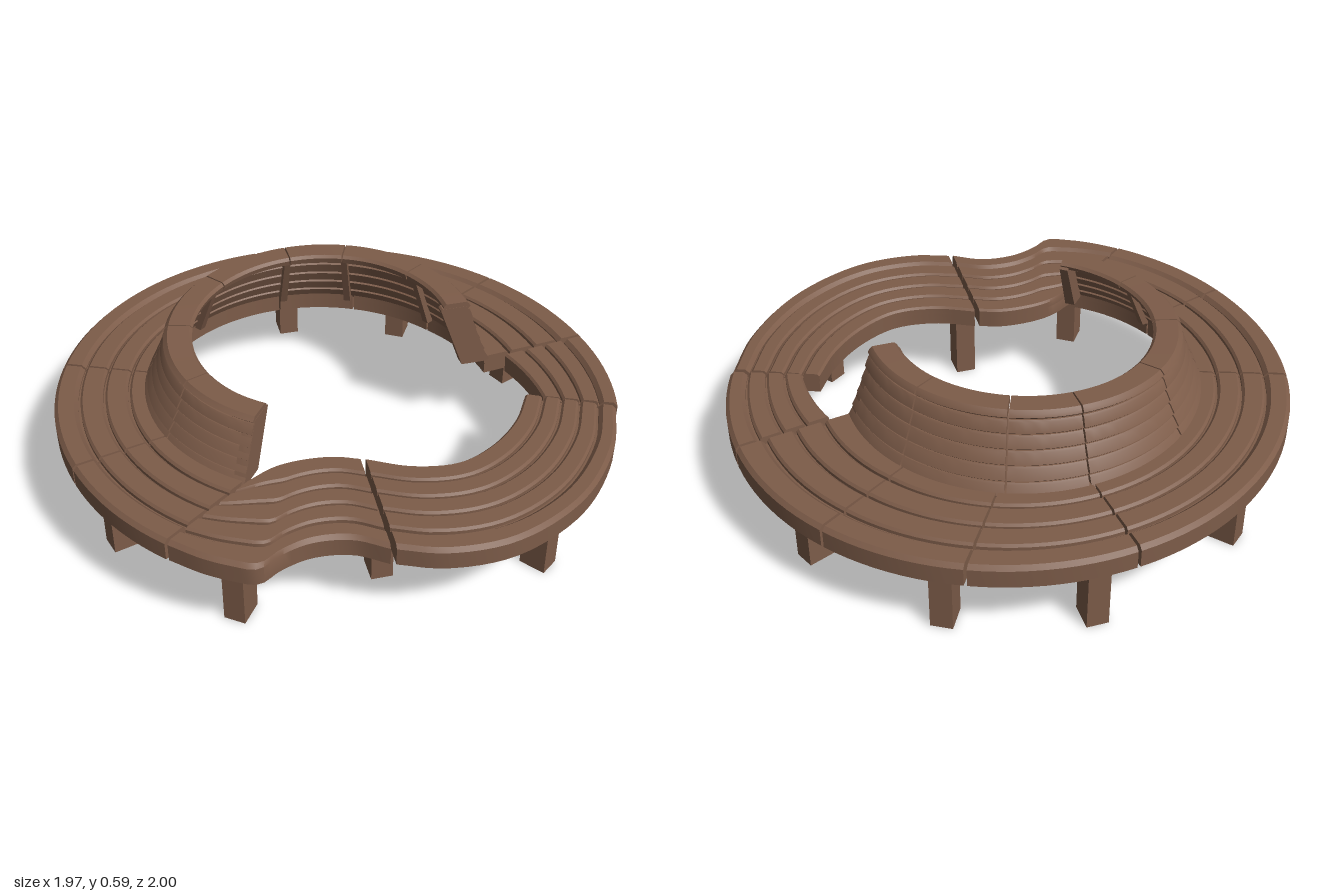
import * as THREE from 'three';
import { toCreasedNormals } from 'three/addons/utils/BufferGeometryUtils.js';

const wood = new THREE.MeshStandardMaterial({ color: 0x7d5c49 });
wood.name = 'brown wood';

const lerp = THREE.MathUtils.lerp;
const rad = THREE.MathUtils.degToRad;
const seatTop = (x) => 0.347 - 0.028 * x;      // the seat slopes slightly sideways
const backTop = (x) => 0.578 + 0.022 * x;

// Sweeps a closed convex section (function of v in 0..1) and caps both ends
function loft(name, section, steps) {
  const pos = [], index = [];
  let n = 0;
  for (let i = 0; i <= steps; i++) {
    const ring = section(i / steps);
    n = ring.length;
    ring.forEach((p) => pos.push(p[0], p[1], p[2]));
  }
  for (let i = 0; i < steps; i++) {
    for (let j = 0; j < n; j++) {
      const k = (j + 1) % n, a = i * n, b = a + n;
      index.push(a + j, a + k, b + k, a + j, b + k, b + j);
    }
  }
  const e = steps * n;
  for (let j = 1; j < n - 1; j++) index.push(0, j + 1, j, e, e + j, e + j + 1);
  const g = new THREE.BufferGeometry();
  g.setAttribute('position', new THREE.Float32BufferAttribute(pos, 3));
  g.setIndex(index);
  const mesh = new THREE.Mesh(toCreasedNormals(g, rad(35)), wood);
  mesh.name = name;
  return mesh;
}

// Point on the backrest ring, whose centre is set slightly back
const ringPoint = (deg, r) => [-0.01 + r * Math.cos(rad(deg)), -0.06 + r * Math.sin(rad(deg))];

// One plank between fractions u0 (outer) and u1 (inner), with chamfered top edges
function plank(name, edges, u0, u1, depthTop, depthBottom, chamfer, steps) {
  return loft(name, (v) => {
    const [o, i] = edges(v);
    const c = chamfer / Math.hypot(o[0] - i[0], o[1] - i[1]);
    const at = (u, d) => {
      const x = lerp(o[0], i[0], u), z = lerp(o[1], i[1], u);
      return [x, seatTop(x) - d, z];
    };
    return [
      at(u1, depthBottom), at(u0, depthBottom),
      at(u0, depthTop + chamfer), at(u0 + c, depthTop),
      at(u1 - c, depthTop), at(u1, depthTop + chamfer),
    ];
  }, steps);
}

// A seat section: a base board, a deep rim plank and thinner planks behind it
function seatSection(name, edges, count, steps) {
  const group = new THREE.Group();
  group.name = name;
  group.add(plank('seatBase', edges, 0.03, 0.995, 0.02, 0.075, 0.002, steps));
  for (let k = 0; k < count; k++) {
    const gap = 0.012;
    group.add(plank('seatPlank', edges, k ? k / count + gap : 0, (k + 1) / count - (k < count - 1 ? gap : 0),
      0, k ? 0.03 : 0.078, k ? 0.008 : 0.014, steps));
  }
  return group;
}

const splineEdges = (outer, inner) => {
  const [a, b] = [outer, inner].map((pts) =>
    new THREE.CatmullRomCurve3(pts.map(([x, z]) => new THREE.Vector3(x, 0, z)), false, 'centripetal'));
  return (v) => [a, b].map((c) => { const p = c.getPointAt(v); return [p.x, p.z]; });
};

// Outer face radius of the backrest at height fraction f
const backRadius = (f) => 0.545 + 0.095 * Math.pow(1 - f, 1.3);

// Curved backrest bar between two angles and two height fractions
function backBar(name, a0, a1, f0, f1, depth, inset = 0, chamfer = 0.006) {
  return loft(name, (v) => {
    const deg = lerp(a0, a1, v);
    const [mx] = ringPoint(deg, 0.58);
    const at = (f, off, dy = 0) => {
      const [x, z] = ringPoint(deg, backRadius(f) - inset - off);
      return [x, lerp(seatTop(mx) - 0.02, backTop(mx), f) + dy, z];
    };
    const c = chamfer;
    return [
      at(f0, depth), at(f0, c), at(f0, 0, c), at(f1, 0, -c),
      at(f1, c), at(f1, depth - c), at(f1, depth, -c),
    ];
  }, Math.max(1, Math.ceil((a1 - a0) / 3)));
}

export function createModel() {
  const model = new THREE.Group();
  model.name = 'roundBench';

  // Ring seat sections: [inner angle, outer angle, inner radius] at each joint
  const joints = [
    [165, 174.5, 0.6], [199, 203, 0.6], [235, 238, 0.6], [306, 303, 0.6],
    [334, 334, 0.6], [365, 362, 0.6], [398, 392, 0.62], [419, 418, 0.79],
  ];
  for (let s = 0; s < joints.length - 1; s++) {
    const p = joints[s], q = joints[s + 1];
    const innerStart = s === 6 ? 0.7 : p[2];
    const edges = (v) => {
      const ao = rad(lerp(p[1] + 0.3, q[1] - 0.3, v));
      return [
        [0.987 * Math.cos(ao), 0.998 * Math.sin(ao)],
        ringPoint(lerp(p[0] + 0.3, q[0] - 0.3, v), lerp(innerStart, q[2], v)),
      ];
    };
    model.add(seatSection('ringSeat', edges, 4, Math.ceil((q[1] - p[1]) / 3)));
  }

  // Front and left sections curve in an S out of the ring
  model.add(seatSection('frontSeat', splineEdges(
    [[0.51, 0.847], [0.3, 0.948], [0, 0.997], [-0.3, 0.93], [-0.48, 0.79], [-0.56, 0.66]],
    [[0.37, 0.56], [0.22, 0.61], [0.05, 0.62], [-0.1, 0.58], [-0.21, 0.47], [-0.275, 0.33]]), 5, 28));
  model.add(seatSection('curvedSeat', splineEdges(
    [[-0.57, 0.645], [-0.61, 0.53], [-0.7, 0.44], [-0.8, 0.4], [-0.89, 0.385], [-0.93, 0.31], [-0.96, 0.22], [-0.98, 0.1]],
    [[-0.285, 0.315], [-0.33, 0.24], [-0.42, 0.16], [-0.5, 0.12], [-0.6, 0.105]]), 5, 28));

  // Backrest: five slats and a wide cap in each section
  const backrest = new THREE.Group();
  backrest.name = 'backrest';
  const backJoints = [165, 198, 234, 270, 307, 332, 366, 398];
  for (let s = 0; s < backJoints.length - 1; s++) {
    const a = backJoints[s] + 0.3, b = backJoints[s + 1] - 0.3;
    for (let k = 0; k < 5; k++) {
      backrest.add(backBar('backSlat', a, b, k * 0.178 + 0.006, (k + 1) * 0.178 - 0.006, 0.035));
    }
    backrest.add(backBar('backCap', a, b, 0.89, 1, 0.096, 0, 0.01));
    if (s) backrest.add(backBar('backRib', a - 1.6, a + 1, 0, 0.9, 0.04, 0.025));
  }
  // Deep end frames
  for (const a of [165.2, 393.8]) backrest.add(backBar('endFrame', a, a + 4, 0, 0.93, 0.1, 0.008));
  model.add(backrest);

  // Legs, each turned to face the centre
  const legs = [
    [0.83, -0.315], [0.565, -0.7], [-0.015, -0.885], [-0.53, -0.7], [-0.8, -0.315],
    [-0.8, 0.22], [-0.37, 0.46], [-0.015, 0.87], [0.565, 0.655], [0.83, 0.22],
  ];
  for (const [x, z] of legs) {
    const h = seatTop(x) - 0.06;
    const g = new THREE.BoxGeometry(0.075, h, 0.095);
    const leg = new THREE.Mesh(g, wood);
    leg.name = 'leg';
    leg.position.set(x, h / 2, z);
    leg.rotation.y = Math.atan2(x, z);
    model.add(leg);
  }
  return model;
}
